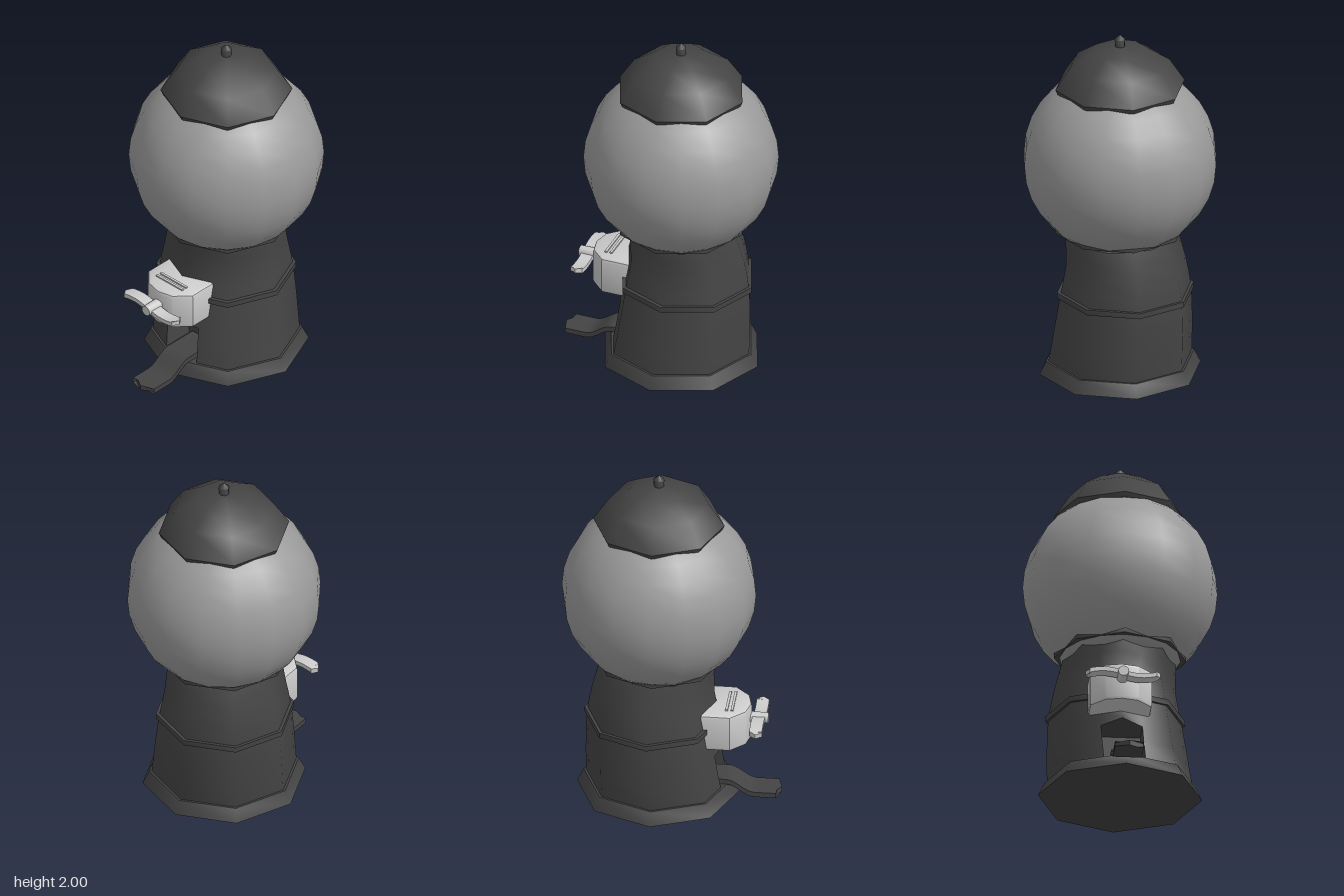
import * as THREE from 'three';
import { toCreasedNormals } from 'three/addons/utils/BufferGeometryUtils.js';

const AXIS_Z = -0.075; // vertical axis of base, globe and cap
const dark = new THREE.MeshStandardMaterial({ color: 0x444444 });
const darkOpen = new THREE.MeshStandardMaterial({ color: 0x444444, side: THREE.DoubleSide });
const glass = new THREE.MeshStandardMaterial({ color: 0x9a9a9a });
const metal = new THREE.MeshStandardMaterial({ color: 0xcccccc });

// Surface through rows of points; skip(i, j) leaves out a cell
function grid(rows, skip = () => false) {
  const n = rows[0].length;
  const index = [];
  for (let i = 0; i < rows.length - 1; i++) {
    for (let j = 0; j < n - 1; j++) {
      if (skip(i, j)) continue;
      const a = i * n + j, b = a + 1, d = a + n, c = d + 1;
      index.push(a, b, d, c, d, b);
    }
  }
  const g = new THREE.BufferGeometry();
  g.setAttribute('position', new THREE.Float32BufferAttribute(rows.flat(2), 3));
  g.setIndex(index);
  return toCreasedNormals(g, 0.9);
}

// Moves every vertex of a geometry by a rule
function reshape(g, rule) {
  const p = g.attributes.position;
  const v = new THREE.Vector3();
  for (let i = 0; i < p.count; i++) {
    rule(v.fromBufferAttribute(p, i));
    p.setXYZ(i, v.x, v.y, v.z);
  }
  return toCreasedNormals(g, 0.7);
}

// Eight-sided turned part from [radius, y] points, bottom to top
function turned(points) {
  const profile = points.map(([r, y]) => new THREE.Vector2(r, y));
  return toCreasedNormals(new THREE.LatheGeometry(profile, 8), 0.9);
}

export function createModel() {
  const group = new THREE.Group();
  const add = (name, geometry, material, x = 0, y = 0, z = 0) => {
    const mesh = new THREE.Mesh(geometry, material);
    mesh.name = name;
    mesh.position.set(x, y, z);
    group.add(mesh);
    return mesh;
  };

  // Foot
  add('foot', turned([[0, 0], [0.455, 0], [0.418, 0.075], [0, 0.075]]), dark, 0, 0, AXIS_Z);

  // Pedestal: tapering octagon that leans slightly, as [y, radius, lean]
  const half = 0.115; // half width of the chute opening
  const levels = [
    [0.07, 0.405, 0], [0.19, 0.396, -0.01], [0.285, 0.389, -0.016], [0.38, 0.38, -0.022],
    [0.47, 0.37, -0.026], [0.56, 0.355, -0.028], [0.65, 0.338, -0.027], [0.75, 0.324, -0.015], [0.845, 0.312, 0],
  ];
  const rows = levels.map(([y, r, lean], i) => {
    const at = (x, z, h = y) => [x + lean, h, z + lean + AXIS_Z];
    const edgeZ = r - half * Math.tan(Math.PI / 8);
    const front = at(0, r, i === 2 ? 0.315 : y);
    const row = [front, at(half, edgeZ)];
    for (let k = 1; k < 8; k++) {
      const a = k * Math.PI / 4;
      row.push(at(r * Math.sin(a), r * Math.cos(a)));
    }
    row.push(at(-half, edgeZ), front);
    return row;
  });
  const last = rows[0].length - 1;
  add('pedestal', grid(rows, (i, j) => i < 2 && (j === 0 || j === last - 1)), darkOpen);

  // Recess behind the chute opening
  const back = 0.1;
  const walls = rows.slice(0, 3).map((row) => {
    const [L, R] = [row[last - 1], row[1]];
    return [L, [L[0], L[1], back], [R[0], R[1], back], R];
  });
  add('chuteWalls', grid(walls), darkOpen);
  const [L, F, R] = [rows[2][last - 1], rows[2][0], rows[2][1]];
  const ceiling = [[L, F, R], [L, F, R].map((p) => [p[0], L[1], back])];
  add('chuteCeiling', grid(ceiling), darkOpen);

  // Chute tongue: slides down from the recess and ends in a point
  const tongue = new THREE.BoxGeometry(0.16, 0.03, 0.5, 2, 1, 20);
  tongue.translate(0, 0, 0.36);
  add('chuteTongue', reshape(tongue, (v) => {
    const tip = v.z > 0.6;
    v.y += 0.092 - 0.072 * THREE.MathUtils.smoothstep(v.z, 0.31, 0.46);
    if (tip) v.z -= 0.05 * Math.abs(v.x) / 0.08;
  }), dark);

  // Middle band and collar under the globe
  const band = (r, y0, y1) => turned([[0, y0], [r, y0], [r, y1], [0, y1]]);
  add('middleBand', band(0.386, 0.46, 0.492), dark, -0.025, 0, AXIS_Z - 0.025);
  add('collar', band(0.367, 0.84, 0.87), dark, 0, 0, AXIS_Z);

  // Globe
  add('globe', new THREE.SphereGeometry(0.54, 16, 16), glass, 0, 1.26, AXIS_Z);

  // Cap and finial
  add('cap', turned([[0, 1.67], [0.352, 1.67], [0.365, 1.698], [0.28, 1.828], [0.152, 1.91], [0, 1.938]]),
    dark, 0, 0, AXIS_Z);
  add('finial', turned([[0.028, 1.92], [0.03, 1.975], [0, 2]]), dark, 0, 0, AXIS_Z);

  // Coin mechanism: bowed housing with bevelled edges
  const cx = -0.0275;
  const plan = new THREE.Shape();
  [[-0.157, -0.12], [-0.157, -0.335], [-0.085, -0.41], [0, -0.43], [0.085, -0.41], [0.157, -0.335], [0.157, -0.12]]
    .forEach(([x, y], i) => (i ? plan.lineTo(x, y) : plan.moveTo(x, y)));
  const housing = new THREE.ExtrudeGeometry(plan, {
    depth: 0.18, bevelEnabled: true, bevelSize: 0.015, bevelThickness: 0.02, bevelSegments: 2,
  });
  housing.rotateX(-Math.PI / 2);
  add('coinHousing', toCreasedNormals(housing, 0.6), metal, cx, 0.38, 0);

  // Coin slot rails on top of the housing
  for (const z of [0.315, 0.345]) {
    add('coinSlotRail', new THREE.BoxGeometry(0.2, 0.02, 0.014), metal, cx, 0.578, z);
  }

  // Knob and wavy turning handle with pointed ends
  const knob = new THREE.CylinderGeometry(0.03, 0.032, 0.12, 12).rotateX(Math.PI / 2);
  add('knob', toCreasedNormals(knob, 0.7), metal, cx, 0.49, 0.478);
  const handle = new THREE.BoxGeometry(0.415, 0.026, 0.07, 18, 1, 2);
  add('turnHandle', reshape(handle, (v) => {
    const end = Math.abs(v.x) > 0.2;
    v.y -= 0.018 * Math.sin(v.x / 0.2 * Math.PI * 0.95);
    if (end) v.x -= Math.sign(v.x) * 0.025 * Math.abs(v.z) / 0.035;
  }), metal, cx, 0.488, 0.486);

  return group;
}
